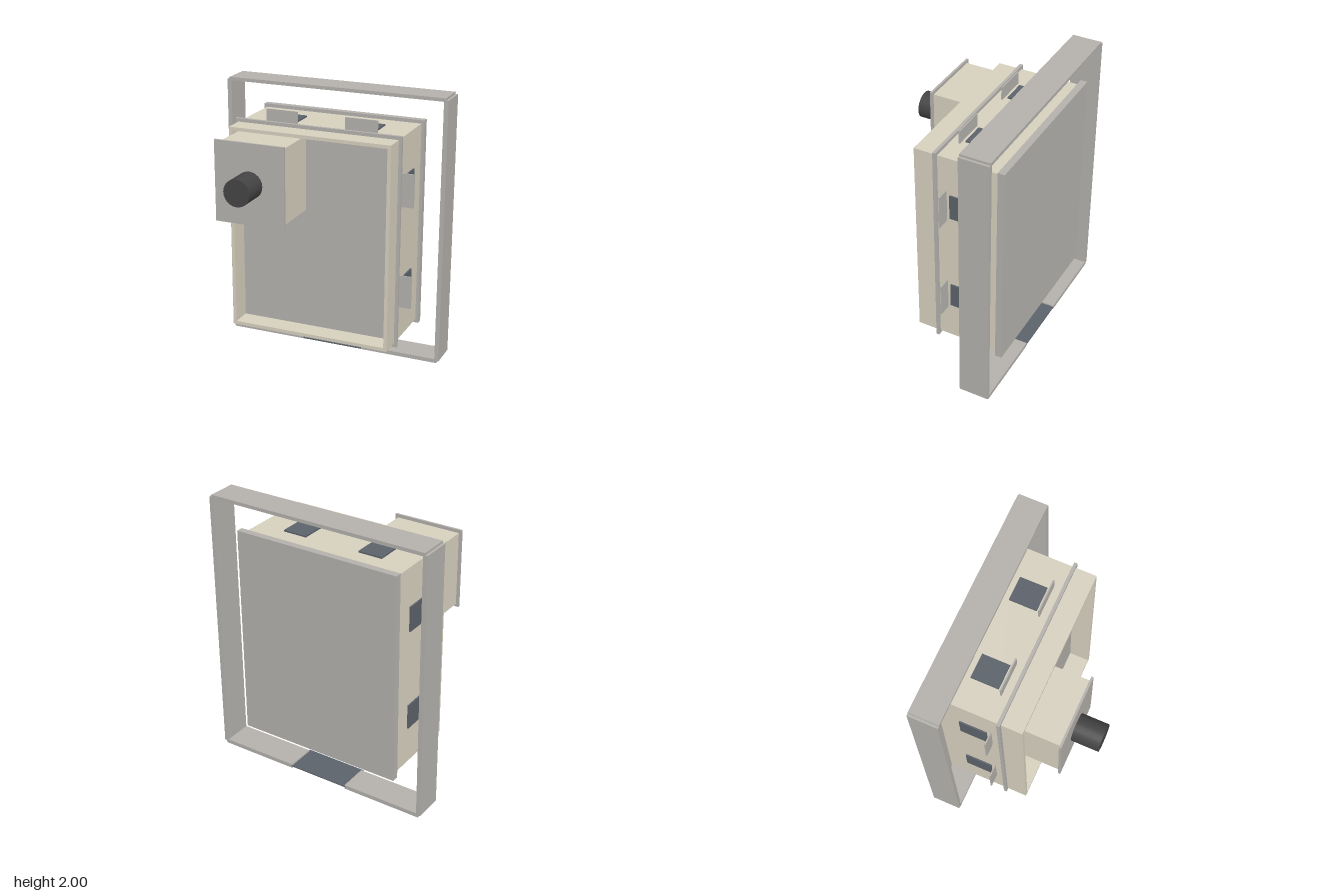
import * as THREE from 'three';

const paint = (color) => new THREE.MeshStandardMaterial({ color, flatShading: true });

export function createModel() {
  const model = new THREE.Group();
  const grey = paint(0xb4b1ac), cream = paint(0xd6d0be);
  const slate = paint(0x5c626a), dark = paint(0x444444);

  // Box given by its extents along each axis
  const block = (name, [x0, x1], [y0, y1], [z0, z1], material) => {
    const mesh = new THREE.Mesh(new THREE.BoxGeometry(x1 - x0, y1 - y0, z1 - z0), material);
    mesh.position.set((x0 + x1) / 2, (y0 + y1) / 2, (z0 + z1) / 2);
    mesh.name = name;
    model.add(mesh);
    return mesh;
  };

  // Main housing between the front and back plates
  block('housing', [-0.605, 0.605], [0.25, 1.76], [-0.51, -0.06], cream);
  block('frontPlate', [-0.627, 0.627], [0.223, 1.785], [-0.065, -0.042], grey);
  block('backPlate', [-0.627, 0.627], [0.223, 1.785], [-0.56, -0.51], grey);

  // Open rim around the recessed front panel
  const rect = (Type, x, y0, y1) => {
    const path = new Type();
    path.moveTo(-x, y0).lineTo(x, y0).lineTo(x, y1).lineTo(-x, y1).closePath();
    return path;
  };
  const rimShape = rect(THREE.Shape, 0.605, 0.25, 1.76);
  rimShape.holes.push(rect(THREE.Path, 0.58, 0.275, 1.735));
  const rim = new THREE.Mesh(
    new THREE.ExtrudeGeometry(rimShape, { depth: 0.15, bevelEnabled: false }), cream);
  rim.position.z = -0.042;
  rim.name = 'frontRim';
  model.add(rim);

  // Control box with cover plate and round knob
  block('controlBox', [-0.565, -0.08], [1.17, 1.715], [-0.045, 0.352], cream);
  block('controlCover', [-0.585, -0.058], [1.15, 1.738], [0.352, 0.368], grey);
  const knob = new THREE.Mesh(new THREE.CylinderGeometry(0.098, 0.098, 0.2, 24), dark);
  knob.material.flatShading = false;
  knob.rotation.x = Math.PI / 2;
  knob.position.set(-0.32, 1.442, 0.465);
  knob.name = 'knob';
  model.add(knob);

  // Mounting tabs and dark pads, two on each of the four sides
  const tabZ = [-0.131, -0.121], padZ = [-0.355, -0.155];
  for (const s of [-1, 1]) {
    const span = (a, b) => (s > 0 ? [a, b] : [-b, -a]);
    // top and bottom
    for (const [yTab, yPad] of [[[1.76, 1.855], [1.755, 1.771]], [[0.155, 0.25], [0.237, 0.255]]]) {
      block('mountingTab', span(0.18, 0.422), yTab, tabZ, grey);
      block('pad', span(0.21, 0.39), yPad, padZ, slate);
    }
    // left and right
    for (const y of [0.625, 1.382]) {
      block('mountingTab', span(0.605, 0.697), [y - 0.122, y + 0.122], tabZ, grey);
      block('pad', span(0.6, 0.616), [y - 0.092, y + 0.092], padZ, slate);
    }
    // Surrounding frame: upright and lower rail on this side
    block('frameUpright', span(0.815, 0.848), [0.018, 1.985], [-0.565, -0.35], grey);
    block('frameLowerRail', span(0.228, 0.83), [0, 0.03], [-0.565, -0.35], grey);
  }
  block('frameTopRail', [-0.83, 0.83], [1.975, 2], [-0.565, -0.35], grey);
  block('frameBridge', [-0.235, 0.235], [0.012, 0.02], [-0.565, -0.33], slate);

  return model;
}
